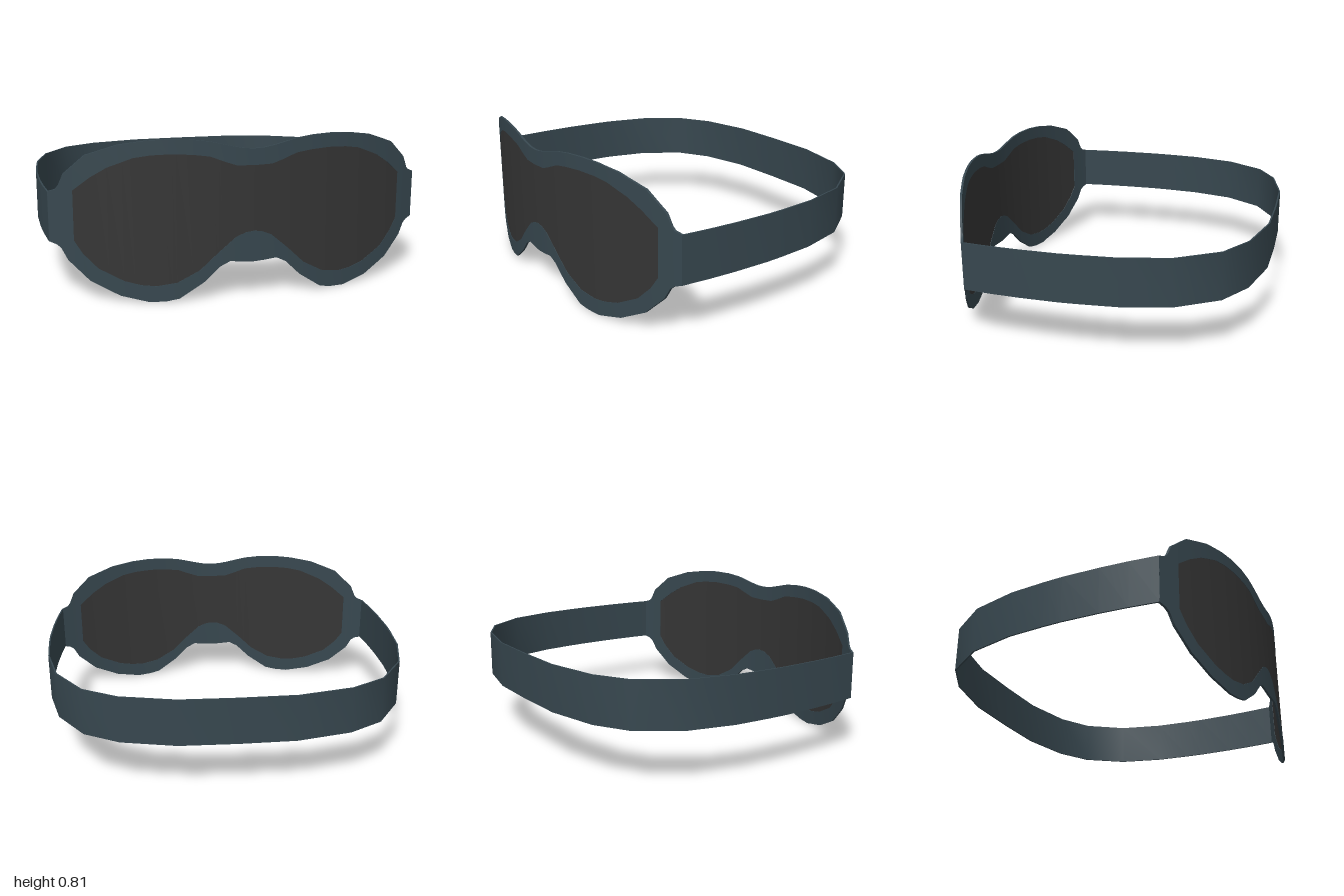
import * as THREE from 'three';
import { toCreasedNormals } from 'three/addons/utils/BufferGeometryUtils.js';

// Half outlines as [x, y] for x >= 0; the other half is mirrored
const outerTop = [[0, .757], [.05, .76], [.1, .769], [.22, .797], [.31, .808], [.42, .811], [.52, .805], [.65, .785], [.8, .733], [.9, .64], [.925, .58], [.94, .562], [.975, .55]];
const outerBottom = [[0, .19], [.06, .194], [.12, .205], [.17, .175], [.25, .098], [.37, .018], [.43, .006], [.51, .002], [.65, .035], [.79, .108], [.89, .21], [.92, .27], [.94, .287], [.975, .3]];
const innerTop = [[0, .675], [.09, .678], [.15, .698], [.22, .725], [.3, .735], [.4, .74], [.5, .735], [.58, .722], [.7, .675], [.78, .625], [.86, .56]];
const innerBottom = [[0, .347], [.04, .342], [.09, .322], [.18, .245], [.27, .16], [.38, .1], [.48, .084], [.55, .09], [.63, .11], [.75, .172], [.82, .245], [.86, .31]];
outerBottom[2][1] = .2;

const LENS_EDGE = .86, FRAME_EDGE = .975;

// Height of a mirrored outline at x
function heightAt(outline, x) {
  const ax = Math.abs(x);
  for (let i = 1; i < outline.length; i++) {
    const [x0, y0] = outline[i - 1], [x1, y1] = outline[i];
    if (ax <= x1 + 1e-6) return y0 + (y1 - y0) * (ax - x0) / (x1 - x0);
  }
  return outline[outline.length - 1][1];
}

// Bowed front surface
const bow = x => .836 - .248 * x * x;

// Closed solid through four-cornered sections (top front, bottom front, bottom back, top back)
function sweep(sections) {
  const pos = [];
  const quad = (a, b, c, d) => [a, b, c, a, c, d].forEach(p => pos.push(...p));
  for (let i = 0; i + 1 < sections.length; i++) {
    const s = sections[i], t = sections[i + 1];
    for (let j = 0; j < 4; j++) {
      const k = (j + 1) % 4;
      quad(s[j], s[k], t[k], t[j]);
    }
  }
  const [a, b, c, d] = sections[0];
  quad(d, c, b, a);
  quad(...sections[sections.length - 1]);
  const geometry = new THREE.BufferGeometry();
  geometry.setAttribute('position', new THREE.Float32BufferAttribute(pos, 3));
  return toCreasedNormals(geometry, .7);
}

// Bowed plate between two outlines from x0 to x1
function plate(top, bottom, x0, x1, inset, thickness) {
  const all = [...top, ...bottom].flatMap(([x]) => [x, -x]).filter(x => x > x0 && x < x1);
  const xs = [...new Set([x0, ...all, x1])].sort((a, b) => a - b);
  return sweep(xs.map(x => {
    const yt = heightAt(top, x), yb = heightAt(bottom, x);
    const front = bow(x) - inset, back = front - thickness;
    return [[x, yt, front], [x, yb, front], [x, yb, back], [x, yt, back]];
  }));
}

// Head band following a path of [x, z] points
function band(path, yTop, yBottom, thickness) {
  return sweep(path.map(([x, z], i) => {
    const p = path[Math.max(i - 1, 0)], n = path[Math.min(i + 1, path.length - 1)];
    const dx = n[0] - p[0], dz = n[1] - p[1], len = Math.hypot(dx, dz);
    const bx = x + dz / len * thickness, bz = z - dx / len * thickness;
    return [[x, yTop, z], [x, yBottom, z], [bx, yBottom, bz], [bx, yTop, bz]];
  }));
}

export function createModel() {
  const model = new THREE.Group();
  model.name = 'goggles';

  const frameMaterial = new THREE.MeshStandardMaterial({ color: 0x37474f });
  frameMaterial.name = 'slate frame';
  const lensMaterial = new THREE.MeshStandardMaterial({ color: 0x353535 });
  lensMaterial.name = 'dark lens';

  const add = (parent, name, geometry, material) => {
    const mesh = new THREE.Mesh(geometry, material);
    mesh.name = name;
    parent.add(mesh);
  };

  // Frame around the lens
  const frame = new THREE.Group();
  frame.name = 'frame';
  model.add(frame);
  add(frame, 'upperRim', plate(outerTop, innerTop, -LENS_EDGE, LENS_EDGE, 0, .012), frameMaterial);
  add(frame, 'lowerRim', plate(innerBottom, outerBottom, -LENS_EDGE, LENS_EDGE, 0, .012), frameMaterial);
  add(frame, 'leftRim', plate(outerTop, outerBottom, LENS_EDGE, FRAME_EDGE, 0, .012), frameMaterial);
  add(frame, 'rightRim', plate(outerTop, outerBottom, -FRAME_EDGE, -LENS_EDGE, 0, .012), frameMaterial);

  // Single lens filling the opening
  add(model, 'lens', plate(innerTop, innerBottom, -LENS_EDGE, LENS_EDGE, .002, .008), lensMaterial);

  // Strap around the head, from the left hinge to the right one
  const half = [[.976, .6], [.99, .45], [.998, .3], [1, .1], [.995, 0], [.978, -.2], [.915, -.45], [.772, -.662], [.588, -.768], [.3, -.832]];
  const path = [...half, [0, -.838], ...half.map(([x, z]) => [-x, z]).reverse()];
  add(model, 'strap', band(path, .55, .3, .008), frameMaterial);

  return model;
}
